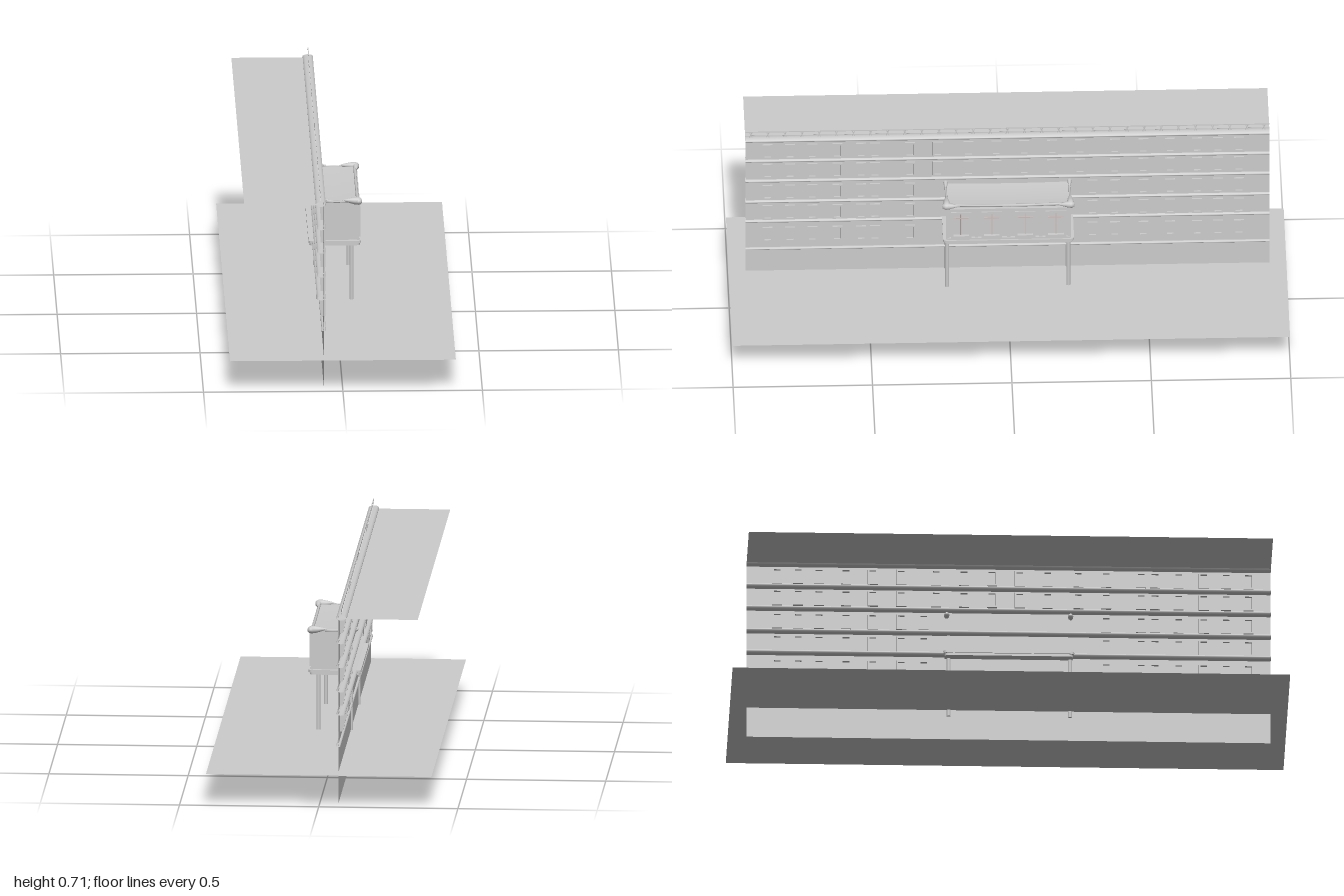
import * as THREE from 'three';

const grey = new THREE.MeshStandardMaterial({ color: 0xcccccc, side: THREE.DoubleSide });
const barMat = new THREE.MeshStandardMaterial({ color: 0xccbcb8, side: THREE.DoubleSide });
const WALL_X = -0.067, HALF = 0.94, GROUND_Y = 0.115;

export function createModel() {
  const model = new THREE.Group();
  model.name = 'balconyFacade';

  const add = (name, geo, x, y, z, parent = model, mat = grey) => {
    const m = new THREE.Mesh(geo, mat);
    m.name = name;
    m.position.set(x, y, z);
    parent.add(m);
    return m;
  };
  const box = (name, w, h, d, x, y, z, parent, mat) =>
    add(name, new THREE.BoxGeometry(w, h, d), x, y, z, parent, mat);

  // Rectangular window frame, facing +x, centred on its own origin
  const frameGeo = (w, h, t, depth) => {
    const rect = (P, a, b) => {
      const p = new P();
      p.moveTo(-a, -b); p.lineTo(a, -b); p.lineTo(a, b); p.lineTo(-a, b); p.closePath();
      return p;
    };
    const s = rect(THREE.Shape, w / 2, h / 2);
    s.holes.push(rect(THREE.Path, w / 2 - t, h / 2 - t));
    return new THREE.ExtrudeGeometry(s, { depth, bevelEnabled: false })
      .translate(0, 0, -depth / 2).rotateY(Math.PI / 2);
  };

  // Ground sheet, thin street wall and flat roof sheet
  add('ground', new THREE.PlaneGeometry(0.81, 2).rotateX(-Math.PI / 2), 0, GROUND_Y, 0);
  add('wall', new THREE.PlaneGeometry(2 * HALF, 0.685).rotateY(Math.PI / 2), WALL_X, 0.3425, 0);
  add('roof', new THREE.PlaneGeometry(0.29, 2 * HALF).rotateX(-Math.PI / 2), -0.207, 0.677, 0);

  // Open-ended mouldings running the whole length of the wall
  const moulding = (name, y, rx, ry, x) => {
    const g = new THREE.CylinderGeometry(1, 1, 2 * HALF, 10, 1, true)
      .rotateX(Math.PI / 2).scale(rx, ry, 1);
    add(name, g, x, y, 0);
  };
  for (const y of [0.33, 0.415, 0.505, 0.592]) moulding('stringCourse', y, 0.016, 0.008, -0.076);
  moulding('cornice', 0.68, 0.019, 0.009, -0.078);
  moulding('plinthMoulding', 0.212, 0.008, 0.005, WALL_X);

  // Five storeys of windows; the three lower ones stay clear of the balcony
  const columns = [0.86, 0.78, 0.70, 0.61, 0.525, 0.475, 0.35, 0.25, 0.14, 0.04, -0.06, -0.16,
    -0.26, -0.305, -0.385, -0.487, -0.583, -0.68, -0.755, -0.83];
  const frame = frameGeo(0.036, 0.06, 0.006, 0.017);
  const windows = new THREE.Group();
  windows.name = 'windows';
  model.add(windows);
  [0.275, 0.37, 0.458, 0.55, 0.635].forEach((y, row) => {
    for (const z of columns) {
      if (row < 3 && Math.abs(z) < 0.28) continue;
      if (z === -0.305 && row > 2) continue;
      add('windowFrame', frame, -0.0685, y, z, windows);
    }
  });

  // Roof railing with crossed struts
  const railing = new THREE.Group();
  railing.name = 'roofRailing';
  model.add(railing);
  box('handrail', 0.003, 0.004, 2 * HALF, -0.077, 0.712, 0, railing);
  for (let i = 0; i <= 30; i++) {
    const z = -0.92 + i * (1.84 / 30);
    for (const s of [-1, 1])
      box('railingStrut', 0.002, 0.027, 0.003, -0.077, 0.699, z, railing).rotation.x = s * 0.4;
  }

  // Enclosed balcony
  const bay = new THREE.Group();
  bay.name = 'balcony';
  model.add(bay);

  // Floor slab with rounded corners and a stepped edge
  const slab = (x0, x1, hz, r, h) => {
    const s = new THREE.Shape();
    s.moveTo(x0 + r, -hz); s.lineTo(x1 - r, -hz); s.quadraticCurveTo(x1, -hz, x1, -hz + r);
    s.lineTo(x1, hz - r); s.quadraticCurveTo(x1, hz, x1 - r, hz);
    s.lineTo(x0 + r, hz); s.quadraticCurveTo(x0, hz, x0, hz - r);
    s.lineTo(x0, -hz + r); s.quadraticCurveTo(x0, -hz, x0 + r, -hz);
    return new THREE.ExtrudeGeometry(s, { depth: h, bevelEnabled: false, curveSegments: 5 })
      .rotateX(-Math.PI / 2);
  };
  add('floorSlab', slab(-0.1, 0.08, 0.23, 0.015, 0.009), 0, 0.318, 0, bay);
  add('floorEdge', slab(-0.104, 0.085, 0.235, 0.015, 0.009), 0, 0.327, 0, bay);

  // Body, with a top that sags towards its middle
  const body = new THREE.BoxGeometry(0.14, 0.146, 0.44, 8, 1, 12);
  const p = body.attributes.position;
  for (let i = 0; i < p.count; i++) {
    if (p.getY(i) < 0) continue;
    const u = p.getX(i) / 0.07, w = p.getZ(i) / 0.22;
    p.setY(i, 0.066 + 0.007 * (u * u + w * w) / 2);
  }
  body.computeVertexNormals();
  add('body', body.toNonIndexed(), 0, 0.409, 0, bay).geometry.computeVertexNormals();

  // Front windows with glazing bars, separated by pilasters
  const bigFrame = frameGeo(0.074, 0.112, 0.009, 0.012);
  for (const z of [0.17, 0.06, -0.06, -0.17]) {
    add('balconyWindowFrame', bigFrame, 0.076, 0.4, z, bay);
    box('glazingBar', 0.004, 0.1, 0.003, 0.072, 0.4, z, bay, barMat);
    box('glazingBar', 0.004, 0.003, 0.06, 0.072, 0.425, z, bay, barMat);
  }
  for (const z of [-0.218, -0.115, 0, 0.115, 0.218])
    box('pilaster', 0.007, 0.125, 0.012, 0.073, 0.398, z, bay);
  box('balconyCornice', 0.014, 0.012, 0.45, 0.074, 0.464, 0, bay);
  box('balconySill', 0.012, 0.008, 0.44, 0.074, 0.339, 0, bay);

  // Scroll ornaments on the roof corners: tapered drops lying along the edges
  const drop = (len, r) => new THREE.LatheGeometry(
    [[0, 0], [0.6, 0.03], [1, 0.2], [0.9, 0.42], [0.55, 0.7], [0.25, 0.9], [0, 1]]
      .map(([a, b]) => new THREE.Vector2(a * r, b * len)), 10);
  for (const s of [-1, 1]) {
    const z = s * 0.222;
    const front = add('frontScroll', drop(0.07, 0.014), 0.088, 0.481, z, bay);
    front.rotation.z = Math.PI / 2 - 0.05;
    const along = add('frontEdgeScroll', drop(0.06, 0.013), 0.076, 0.481, s * 0.238, bay);
    along.rotation.x = -s * Math.PI / 2;
    const back = add('backScroll', drop(0.066, 0.01), -0.095, 0.485, z, bay);
    back.rotation.z = -Math.PI / 2;
    // Sagging roof rim along each side
    const rim = new THREE.QuadraticBezierCurve3(new THREE.Vector3(-0.06, 0.484, z),
      new THREE.Vector3(0, 0.474, z), new THREE.Vector3(0.06, 0.484, z));
    add('sideRim', new THREE.TubeGeometry(rim, 10, 0.004, 6), 0, 0, 0, bay);
  }
  const frontRim = new THREE.QuadraticBezierCurve3(new THREE.Vector3(0.072, 0.482, -0.2),
    new THREE.Vector3(0.072, 0.474, 0), new THREE.Vector3(0.072, 0.482, 0.2));
  add('frontRim', new THREE.TubeGeometry(frontRim, 16, 0.005, 6), 0, 0, 0, bay);

  // Four posts reaching just below the ground sheet
  const post = new THREE.CylinderGeometry(0.0075, 0.0075, 0.23, 12);
  for (const x of [-0.067, 0.05])
    for (const z of [-0.215, 0.22]) add('post', post, x, 0.205, z, bay);

  return model;
}
